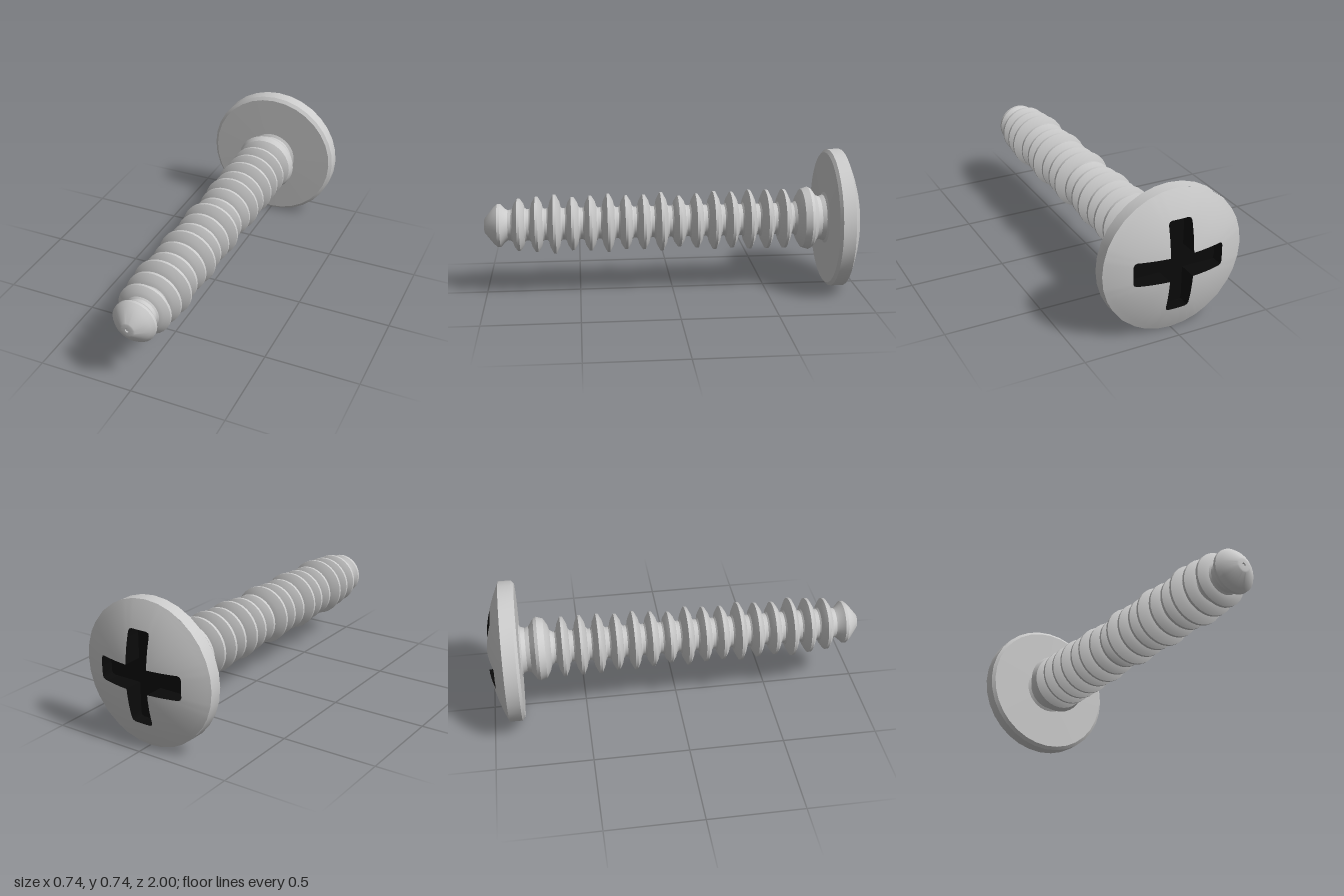
import * as THREE from 'three';
import { toCreasedNormals } from 'three/addons/utils/BufferGeometryUtils.js';

const SIDES = 32, HEAD_R = 0.372, RIM_Z = -0.915, FLOOR_Z = -0.9;
const grey = new THREE.MeshStandardMaterial({ color: 0xcccccc });
const black = new THREE.MeshStandardMaterial({ color: 0x0a0a0a });

function part(name, geometry, material = grey) {
  const mesh = new THREE.Mesh(geometry, material);
  mesh.name = name;
  return mesh;
}

// Turned part: [radius, z] pairs in order of rising z
function turned(profile, crease = 0.45) {
  const geo = new THREE.LatheGeometry(profile.map(([r, z]) => new THREE.Vector2(r, z)), SIDES);
  geo.rotateX(Math.PI / 2);
  return toCreasedNormals(geo, crease);
}

// Skin over closed rows of points
function loft(rows) {
  const n = rows[0].length, index = [];
  for (let j = 0; j < rows.length - 1; j++) {
    for (let i = 0; i < n; i++) {
      const a = j * n + i, b = j * n + (i + 1) % n;
      index.push(a, b, a + n, b, b + n, a + n);
    }
  }
  const geo = new THREE.BufferGeometry();
  geo.setAttribute('position', new THREE.Float32BufferAttribute(rows.flat(2), 3));
  geo.setIndex(index);
  geo.computeVertexNormals();
  return geo;
}

// Cross outline with rounded arm ends, counterclockwise
function crossOutline(w, len, c) {
  const arm = [[w, -w], [0.1, -w], [0.15, -w], [0.19, -w], [len - c, -w],
    [len - 0.3 * c, -w + 0.3 * c], [len, -w + c], [len, 0], [len, w - c],
    [len - 0.3 * c, w - 0.3 * c], [len - c, w], [0.19, w], [0.15, w], [0.1, w]];
  const points = [];
  for (let k = 0; k < 4; k++) {
    for (const [x, y] of arm) {
      points.push(new THREE.Vector2(x, y).rotateAround(new THREE.Vector2(), k * Math.PI / 2));
    }
  }
  return points;
}

// Point on the dome, t = 0 at the recess edge and 1 at the faceted rim
function domePoint(p, t) {
  const seg = 2 * Math.PI / SIDES, angle = Math.atan2(p.y, p.x) + 2 * Math.PI;
  const rim = HEAD_R * Math.cos(seg / 2) / Math.cos(angle % seg - seg / 2);
  const r = THREE.MathUtils.lerp(p.length(), rim, t);
  const f = r / rim;
  return [Math.cos(angle) * r, Math.sin(angle) * r, -1.004 + (RIM_Z + 1.004) * f * f];
}

function createHead() {
  const head = new THREE.Group();
  head.name = 'head';
  const outline = crossOutline(0.062, 0.238, 0.018);

  head.add(part('headRim', turned([[HEAD_R, RIM_Z], [HEAD_R, -0.848], [0.355, -0.834], [0.1, -0.83]])));

  const rows = [];
  for (let j = 0; j <= 8; j++) rows.push(outline.map(p => domePoint(p, j / 8)));
  head.add(part('headDome', loft(rows)));

  // Cross recess
  const floorRow = outline.map(p => [p.x, p.y, FLOOR_Z]);
  head.add(part('recessWall', toCreasedNormals(loft([floorRow, rows[0]]), 0.6), black));
  const floor = new THREE.ShapeGeometry(new THREE.Shape(outline));
  floor.rotateY(Math.PI).translate(0, 0, FLOOR_Z);
  head.add(part('recessFloor', floor, black));
  return head;
}

function createShaft() {
  // Neck and collar under the head
  const profile = [[0.145, -0.834], [0.125, -0.822], [0.116, -0.8], [0.124, -0.778], [0.162, -0.752],
    [0.17, -0.735], [0.158, -0.7], [0.125, -0.68], [0.094, -0.67], [0.084, -0.655]];

  // Thread ridges from head to tip
  const ridges = [0.16, 0.159, 0.16, 0.151, 0.157, 0.147, 0.138, 0.157, 0.148,
    0.145, 0.157, 0.147, 0.143, 0.157, 0.148, 0.14];
  const section = [[-0.04, 0], [-0.032, 0.13], [-0.026, 0.5], [-0.007, 1], [0.007, 1], [0.026, 0.5], [0.032, 0.13], [0.04, 0]];
  ridges.forEach((r, i) => {
    const z = -0.605 + i * 0.0949;
    for (const [dz, f] of section) profile.push([0.084 + (r - 0.084) * f, z + dz]);
  });

  // Tapered tip with a small dimple
  profile.push([0.08, 0.875], [0.088, 0.889], [0.115, 0.915], [0.115, 0.93], [0.098, 0.95],
    [0.038, 0.998], [0.03, 1], [0.011, 1], [0.008, 0.995], [0, 0.995]);
  return part('threadedShaft', turned(profile));
}

export function createModel() {
  const screw = new THREE.Group();
  screw.name = 'screw';
  screw.add(createHead(), createShaft());
  screw.position.y = 0.372;

  const model = new THREE.Group();
  model.name = 'model';
  model.add(screw);
  return model;
}
